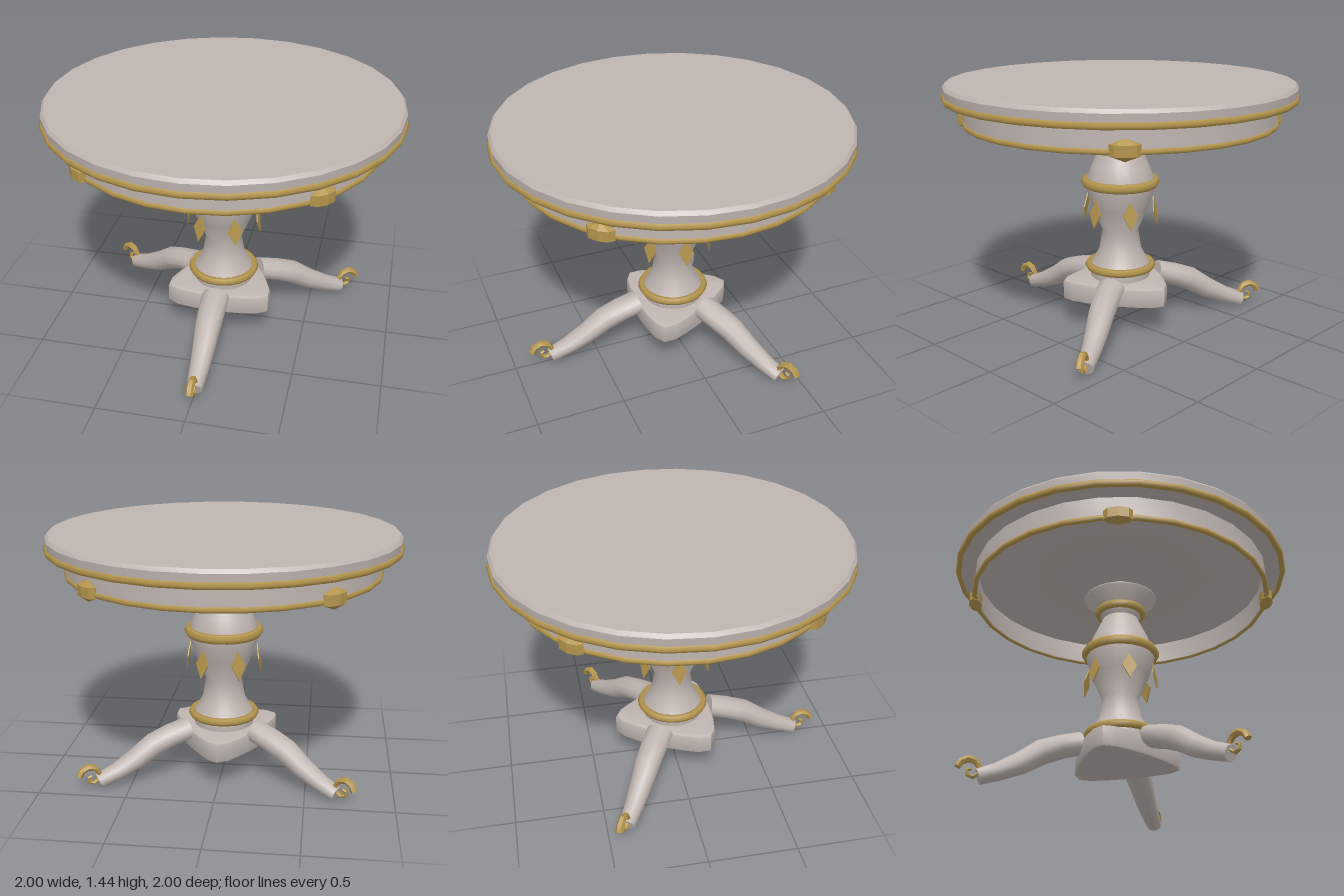
import * as THREE from 'three';
import { toCreasedNormals } from 'three/addons/utils/BufferGeometryUtils.js';

const SIDES = 28;

export function createModel() {
  const model = new THREE.Group();
  model.name = 'pedestalTable';

  const stone = new THREE.MeshStandardMaterial({ color: 0xbfb5b0 });
  stone.name = 'warm grey';
  const gold = new THREE.MeshStandardMaterial({ color: 0xb3944c });
  gold.name = 'antique gold';

  function add(name, geometry, material, parent = model) {
    const mesh = new THREE.Mesh(geometry, material);
    mesh.name = name;
    parent.add(mesh);
    return mesh;
  }

  // Turned part from [radius, height] points, listed bottom to top
  function turned(name, points, crease) {
    const profile = points.map(([r, y]) => new THREE.Vector2(r, y));
    return add(name, toCreasedNormals(new THREE.LatheGeometry(profile, SIDES), crease), stone);
  }

  // Horizontal gold ring with a hexagonal section
  function ring(name, radius, tube, y) {
    const geo = new THREE.TorusGeometry(radius, tube, 6, SIDES);
    geo.rotateX(Math.PI / 2);
    add(name, geo, gold).position.y = y;
  }

  // Tapered sweep through [z, y, halfWidth, halfHeight] stations, with end caps
  function sweep(stations, sides, crease) {
    const centres = stations.map(([z, y]) => new THREE.Vector3(0, y, z));
    const across = new THREE.Vector3(1, 0, 0);
    const pos = [], index = [], last = stations.length - 1;
    stations.forEach(([, , w, h], i) => {
      const dirIn = centres[Math.max(i, 1)].clone().sub(centres[Math.max(i, 1) - 1]).normalize();
      const dirOut = centres[Math.min(i + 1, last)].clone().sub(centres[Math.min(i, last - 1)]).normalize();
      const up = dirIn.add(dirOut).normalize().cross(across);
      for (let j = 0; j < sides; j++) {
        const a = (j / sides) * Math.PI * 2;
        const p = centres[i].clone().addScaledVector(across, Math.cos(a) * w).addScaledVector(up, Math.sin(a) * h);
        pos.push(p.x, p.y, p.z);
      }
    });
    const start = pos.length / 3;
    pos.push(...centres[0].toArray(), ...centres[last].toArray());
    for (let j = 0; j < sides; j++) {
      const k = (j + 1) % sides;
      for (let i = 0; i < last; i++) {
        const a = i * sides + j, b = i * sides + k;
        index.push(a, b, b + sides, a, b + sides, a + sides);
      }
      index.push(start, k, j, start + 1, last * sides + j, last * sides + k);
    }
    const geo = new THREE.BufferGeometry();
    geo.setAttribute('position', new THREE.Float32BufferAttribute(pos, 3));
    geo.setIndex(index);
    return toCreasedNormals(geo, crease);
  }

  // Round top with softened edge
  turned('tableTop', [[0, 1.36], [0.96, 1.36], [0.985, 1.375], [0.99, 1.435], [0.975, 1.455], [0, 1.455]], 0.6);
  ring('tableTopTrim', 0.98, 0.02, 1.376);

  // Hollow apron below the top
  turned('apron', [[0.882, 1.225], [0.882, 1.362], [0.862, 1.362], [0.862, 1.225], [0.882, 1.225]], 0.6);
  ring('apronTrim', 0.878, 0.016, 1.232);

  // Faceted bosses on the apron
  const bossGeo = new THREE.SphereGeometry(1, 8, 3);
  bossGeo.scale(0.09, 0.058, 0.045);
  const bossFlat = toCreasedNormals(bossGeo, 0.1);
  for (let i = 0; i < 4; i++) {
    const a = Math.PI / 4 + (i * Math.PI) / 2;
    const boss = add('apronBoss', bossFlat, gold);
    boss.position.set(Math.sin(a) * 0.882, 1.242, Math.cos(a) * 0.882);
    boss.rotation.y = a;
  }

  // Central pedestal
  turned('pedestal', [
    [0, 0.28], [0.17, 0.28], [0.18, 0.36], [0.17, 0.38], [0.125, 0.46], [0.105, 0.58],
    [0.165, 0.72], [0.2, 0.84], [0.2, 0.88], [0.165, 0.97], [0.105, 1.1], [0.125, 1.135],
    [0.13, 1.16], [0.215, 1.235], [0.215, 1.245], [0.03, 1.245], [0.03, 1.362],
  ], 0.9);
  ring('lowerCollar', 0.185, 0.023, 0.363);
  ring('middleCollar', 0.2, 0.029, 0.87);
  ring('upperCollar', 0.13, 0.024, 1.147);

  // Thin diamond ornaments around the pedestal
  const diamond = new THREE.Shape();
  diamond.moveTo(0, -0.085);
  diamond.lineTo(0.043, 0);
  diamond.lineTo(0, 0.08);
  diamond.lineTo(-0.043, 0);
  const diamondGeo = new THREE.ExtrudeGeometry(diamond, { depth: 0.007, bevelEnabled: false });
  diamondGeo.rotateX(-0.14);
  for (let i = 0; i < 6; i++) {
    const a = Math.PI / 2 + (i * Math.PI) / 3;
    const leaf = add('diamondOrnament', diamondGeo, gold);
    leaf.position.set(Math.sin(a) * 0.203, 0.71, Math.cos(a) * 0.203);
    leaf.rotation.y = a;
  }

  // Three-sided platform, corners between the legs
  const plate = new THREE.Shape();
  for (let i = 0; i < 3; i++) {
    const mid = Math.PI / 2 + (i * Math.PI * 2) / 3;
    const at = (angle, r) => [Math.cos(mid + angle) * r, Math.sin(mid + angle) * r];
    const side = Math.PI / 18;
    if (i === 0) plate.moveTo(...at(-side, 0.305));
    plate.lineTo(...at(0, 0.33));
    plate.lineTo(...at(side, 0.305));
    const next = Math.PI / 3;
    plate.quadraticCurveTo(...at(next, 0.244), ...at(2 * next - side, 0.305));
  }
  const plateGeo = new THREE.ExtrudeGeometry(plate, {
    depth: 0.09, bevelThickness: 0.016, bevelSize: 0.015, bevelSegments: 2, curveSegments: 5,
  });
  plateGeo.rotateX(-Math.PI / 2);
  add('basePlatform', toCreasedNormals(plateGeo, 0.6), stone).position.y = 0.192;

  // Legs with scrolled gold toes
  const legGeo = sweep([
    [0.225, 0.293, 0.08, 0.064], [0.34, 0.262, 0.08, 0.066], [0.445, 0.222, 0.075, 0.07],
    [0.56, 0.148, 0.065, 0.062], [0.68, 0.09, 0.055, 0.05], [0.783, 0.052, 0.047, 0.044],
  ], 10, 0.9);
  const scrollGeo = sweep([
    [0.895, 0.1, 0.022, 0.018], [0.877, 0.132, 0.022, 0.02], [0.84, 0.15, 0.022, 0.02],
    [0.8, 0.138, 0.021, 0.018], [0.777, 0.105, 0.019, 0.014], [0.783, 0.068, 0.017, 0.012],
    [0.812, 0.048, 0.015, 0.011], [0.84, 0.06, 0.013, 0.01], [0.842, 0.085, 0.012, 0.009],
    [0.822, 0.093, 0.01, 0.008],
  ], 6, 0.7);
  for (let i = 0; i < 3; i++) {
    const leg = new THREE.Group();
    leg.name = 'legAssembly';
    leg.rotation.y = (i * Math.PI * 2) / 3;
    add('leg', legGeo, stone, leg);
    add('toeScroll', scrollGeo, gold, leg);
    model.add(leg);
  }

  return model;
}
